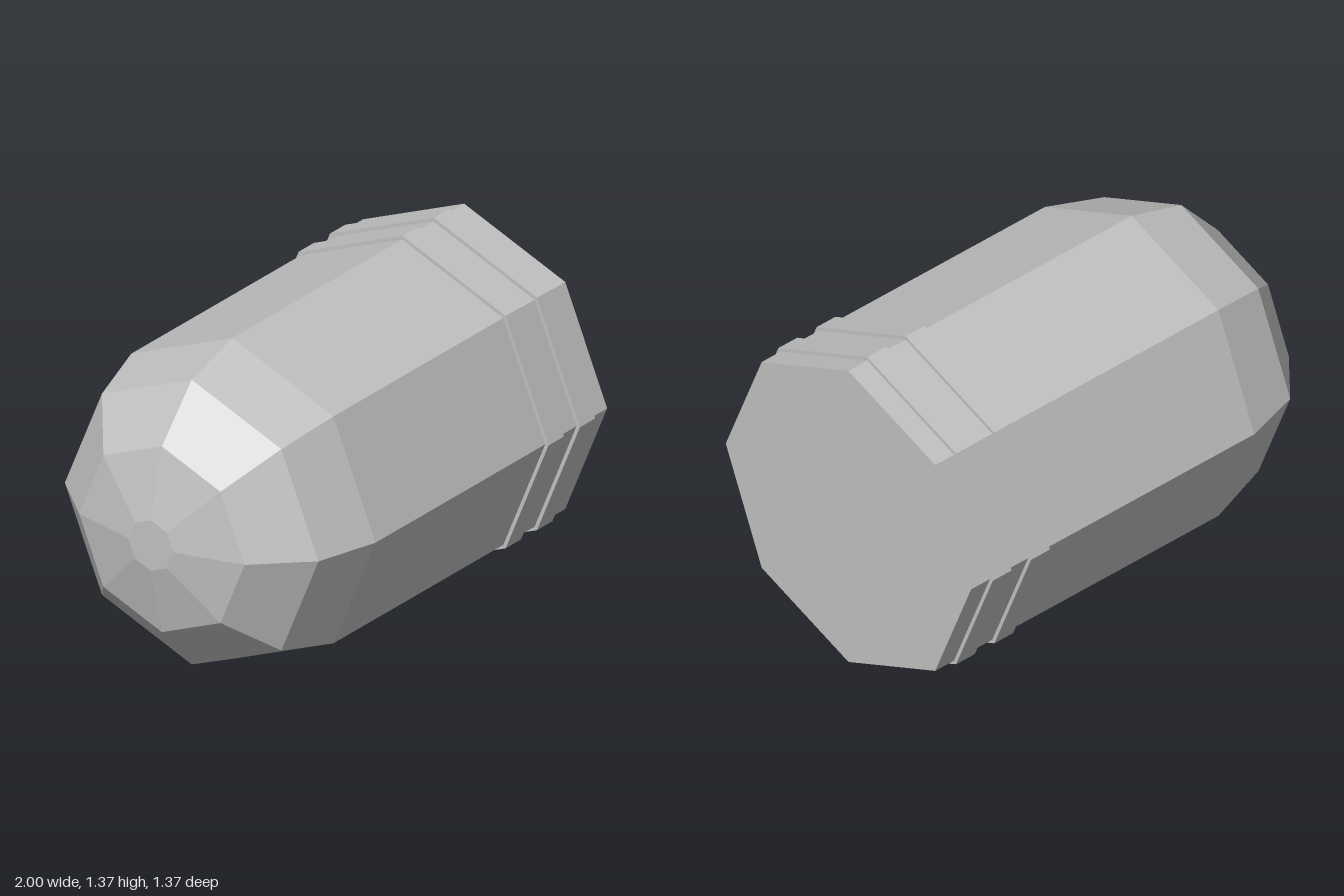
import * as THREE from 'three';

export function createModel() {
  const model = new THREE.Group();
  const metal = new THREE.MeshStandardMaterial({ color: 0xc0c0c0, flatShading: true });
  metal.name = 'greyMetal';

  const sides = 8;
  const bodyRadius = 0.668;
  const bandRadius = 0.684;

  // Lays a geometry's axis along x, standing on the ground
  const addPart = (name, geometry, x = 0) => {
    geometry.rotateZ(-Math.PI / 2);
    const mesh = new THREE.Mesh(geometry, metal);
    mesh.name = name;
    mesh.position.set(x, bandRadius, 0);
    model.add(mesh);
  };

  // Body: flat tip, rounded shoulder in 30 degree steps, straight wall, flat base
  const tipRadius = 0.105;
  const profile = [new THREE.Vector2(0, -1)];
  for (let i = 3; i >= 0; i--) {
    const a = (i * Math.PI) / 6;
    profile.push(new THREE.Vector2(
      tipRadius + (bodyRadius - tipRadius) * Math.cos(a),
      -0.48 - 0.52 * Math.sin(a)
    ));
  }
  profile.push(new THREE.Vector2(bodyRadius, 1), new THREE.Vector2(0, 1));
  addPart('body', new THREE.LatheGeometry(profile, sides));

  // Two raised bands near the base
  [['frontBand', 0.653], ['rearBand', 0.853]].forEach(([name, x]) =>
    addPart(name, new THREE.CylinderGeometry(bandRadius, bandRadius, 0.098, sides), x));

  return model;
}
